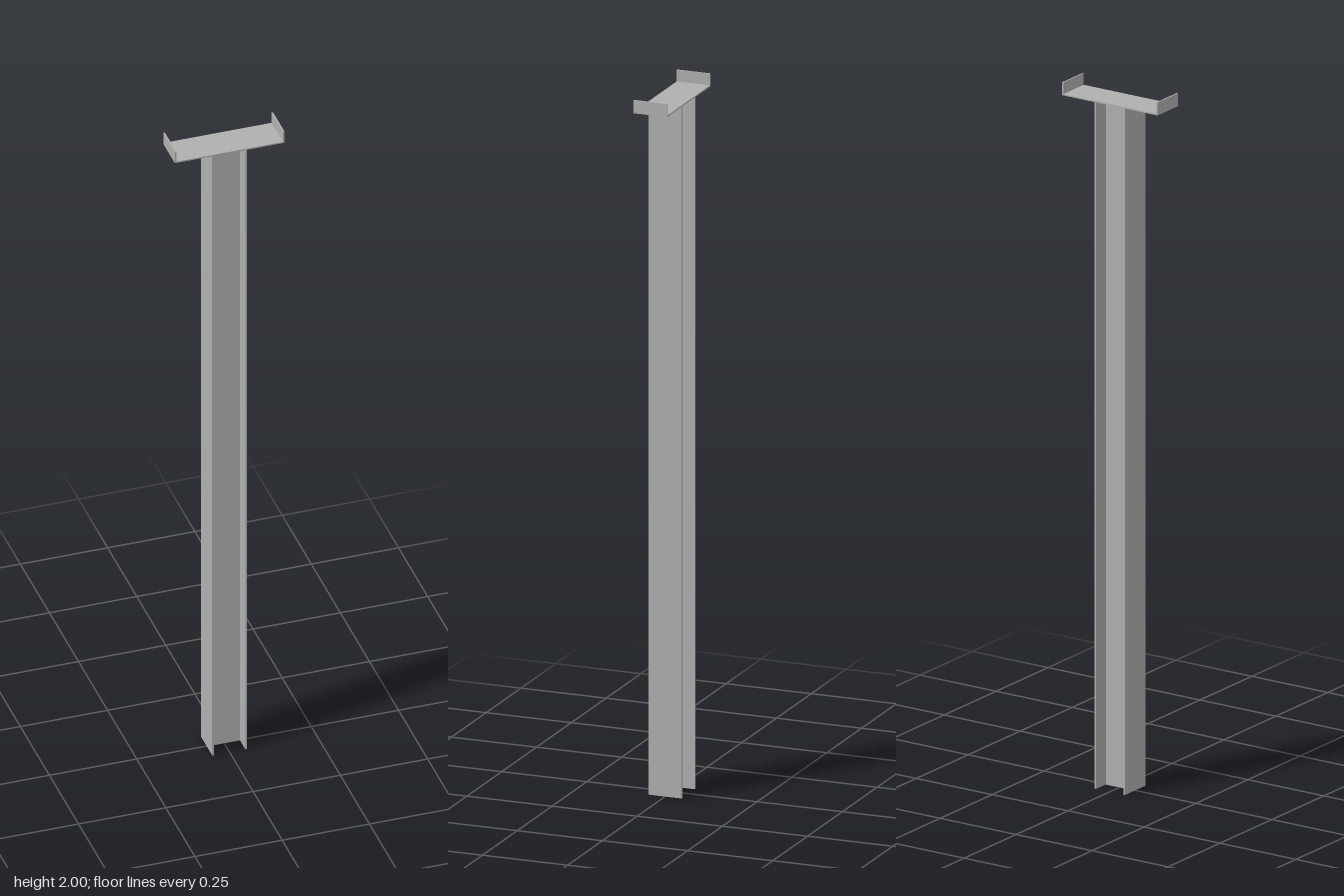
import * as THREE from 'three';

export function createModel() {
  const model = new THREE.Group();
  model.name = 'steelPost';
  const steel = new THREE.MeshStandardMaterial({ color: 0xb0b0b0 });
  steel.name = 'grey steel';

  // Plate centred on x and z, spanning y0 to y1
  const plate = (name, w, d, x, y0, y1) => {
    const mesh = new THREE.Mesh(new THREE.BoxGeometry(w, y1 - y0, d), steel);
    mesh.name = name;
    mesh.position.set(x, (y0 + y1) / 2, 0);
    model.add(mesh);
  };

  const depth = 0.098, seatY = 1.963, sheet = 0.004;

  // I-section column: thin web between two flanges
  plate('web', 0.09, sheet, 0, 0, seatY);
  // Shallow upturned channel on top of the column
  plate('channelFloor', 0.314, depth, 0, seatY, seatY + sheet);

  for (const [side, s] of [['left', 1], ['right', -1]]) {
    plate(side + 'Flange', 0.005, depth, s * 0.0475, 0, seatY);
    plate(side + 'ChannelLip', sheet, depth, s * 0.155, seatY + sheet, 2);
  }
  return model;
}
